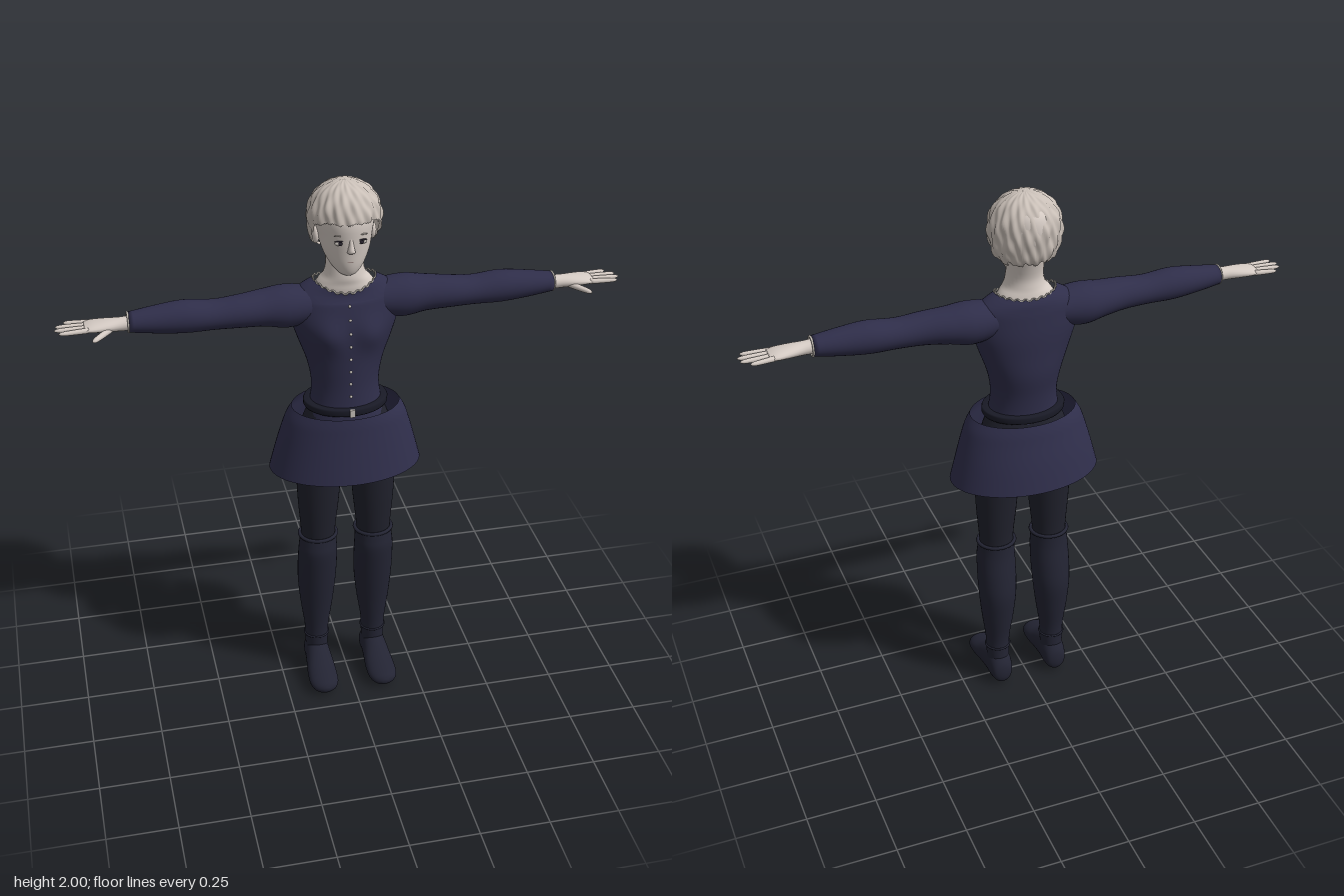
import * as THREE from 'three';

const mat = (name, color, side = THREE.FrontSide) => {
  const m = new THREE.MeshStandardMaterial({ color });
  m.name = name;
  m.side = side;
  return m;
};

// Smooth skin over elliptical rings [t, c1, c2, r1, r2] placed along an axis
function loft(rings, axis = 'y', { n = 32, steps = 4, caps = true, deform } = {}) {
  const rows = [];
  const at = i => rings[Math.min(Math.max(i, 0), rings.length - 1)];
  for (let i = 0; i < rings.length - 1; i++)
    for (let s = 0; s < steps; s++) {
      const u = s / steps;
      rows.push(at(i).map((p1, k) => {
        const p0 = at(i - 1)[k], p2 = at(i + 1)[k], p3 = at(i + 2)[k];
        return p1 + 0.5 * u * (p2 - p0 + u * (2 * p0 - 5 * p1 + 4 * p2 - p3 + u * (3 * (p1 - p2) + p3 - p0)));
      }));
    }
  rows.push(rings[rings.length - 1]);
  const place = (t, a, b) => axis === 'y' ? [a, t, b] : axis === 'x' ? [t, a, b] : [a, b, t];
  const pos = [], idx = [];
  const tri = (a, b, c) => axis === 'y' ? idx.push(a, b, c) : idx.push(a, c, b);
  for (const [t, c1, c2, r1, r2] of rows)
    for (let j = 0; j < n; j++) {
      const a = j / n * Math.PI * 2;
      pos.push(...place(t, c1 + r1 * Math.sin(a), c2 + r2 * Math.cos(a)));
    }
  for (let i = 0; i < rows.length - 1; i++)
    for (let j = 0; j < n; j++) {
      const a = i * n + j, b = i * n + (j + 1) % n;
      tri(a, b, a + n);
      tri(b, b + n, a + n);
    }
  if (caps) {
    const c = rows.length * n, top = (rows.length - 1) * n;
    for (const r of [rows[0], rows[rows.length - 1]]) pos.push(...place(r[0], r[1], r[2]));
    for (let j = 0; j < n; j++) {
      tri(c, (j + 1) % n, j);
      tri(c + 1, top + j, top + (j + 1) % n);
    }
  }
  const g = new THREE.BufferGeometry();
  g.setAttribute('position', new THREE.Float32BufferAttribute(pos, 3));
  g.setIndex(idx);
  return deform ? bend(g, deform) : (g.computeVertexNormals(), g);
}

// Move every vertex by a rule
function bend(g, rule) {
  const p = g.attributes.position, v = new THREE.Vector3();
  for (let i = 0; i < p.count; i++) {
    rule(v.fromBufferAttribute(p, i));
    p.setXYZ(i, v.x, v.y, v.z);
  }
  g.computeVertexNormals();
  return g;
}

function mirrored(g) {
  const m = g.clone().scale(-1, 1, 1), a = m.index.array;
  for (let i = 0; i < a.length; i += 3) [a[i], a[i + 1]] = [a[i + 1], a[i]];
  return m;
}

const ball = (x, y, z, a, b, c) => new THREE.SphereGeometry(1, 16, 12).scale(a, b, c).translate(x, y, z);
const hoop = (x, y, z, rx, rz, r) =>
  new THREE.TorusGeometry(1, r / rx, 8, 40).rotateX(Math.PI / 2).scale(rx, rx, rz).translate(x, y, z);

export function createModel() {
  const root = new THREE.Group();
  const skin = mat('skin', 0xd6ccc5), hairMat = mat('hair', 0xc9bfb7, THREE.DoubleSide);
  const navy = mat('navy cloth', 0x2f2e4a), skirtMat = mat('skirt cloth', 0x302f4c, THREE.DoubleSide);
  const tights = mat('tights', 0x20212c), boot = mat('boots', 0x232433), leather = mat('belt leather', 0x191a26);
  const trim = mat('pale trim', 0xc8c2ba), dark = mat('eye dark', 0x2b2630), lip = mat('lips', 0xa8938e);
  const add = (name, g, m) => {
    const mesh = new THREE.Mesh(g, m);
    mesh.name = name;
    root.add(mesh);
  };
  const pair = (name, g, m) => {
    add(name + 'Left', g, m);
    add(name + 'Right', mirrored(g), m);
  };

  // Bodice with bust and dipped neckline
  const torso = loft([
    [1.14, 0, 0, 0.14, 0.1], [1.2, 0, -0.003, 0.125, 0.096], [1.27, 0, -0.008, 0.12, 0.096],
    [1.35, 0, -0.014, 0.135, 0.102], [1.43, 0, -0.014, 0.163, 0.102], [1.5, 0, -0.016, 0.185, 0.099],
    [1.56, 0, -0.019, 0.19, 0.09], [1.6, 0, -0.022, 0.183, 0.082], [1.63, 0, -0.024, 0.145, 0.075],
    [1.65, 0, -0.02, 0.108, 0.07],
  ], 'y', {
    n: 48, caps: false, deform: v => {
      if (v.z > 0) v.z += 0.02 * Math.exp(-(((Math.abs(v.x) - 0.075) / 0.05) ** 2) - ((v.y - 1.47) / 0.055) ** 2);
      if (v.y > 1.58) v.y -= (v.y - 1.58) * (v.z > -0.02 ? 0.5 : 0.2) * ((v.z + 0.02) / 0.07) ** 2;
    },
  });
  add('bodice', torso, navy);
  const tp = torso.attributes.position;
  for (let k = 0; k < 8; k++) {
    const y = 1.575 - k * 0.048;
    let z = 0, best = 1;
    for (let i = 0; i < tp.count; i++) {
      const d = Math.abs(tp.getY(i) - y);
      if (Math.abs(tp.getX(i)) < 0.004 && tp.getZ(i) > 0 && d < best) { best = d; z = tp.getZ(i); }
    }
    add('button', ball(0, y, z, 0.005, 0.005, 0.004), trim);
  }

  // Scalloped lace around the neckline
  const lace = [];
  for (let i = 0; i < 96; i++) {
    const a = i / 96 * Math.PI * 2, c = Math.cos(a);
    lace.push(new THREE.Vector3(0.108 * Math.sin(a),
      1.65 - 0.07 * (c > 0 ? 0.5 : 0.2) * c * c + 0.003 * (i % 4 < 2 ? 1 : -1), -0.02 + 0.07 * c));
  }
  add('neckLace', new THREE.TubeGeometry(new THREE.CatmullRomCurve3(lace, true), 192, 0.003, 5, true), trim);

  // Sleeves, cuffs and hands
  pair('sleeve', loft([
    [0.1, 1.56, -0.02, 0.06, 0.066], [0.2, 1.557, -0.022, 0.074, 0.077], [0.28, 1.56, -0.019, 0.063, 0.07],
    [0.36, 1.56, -0.01, 0.056, 0.062], [0.45, 1.558, -0.008, 0.051, 0.057], [0.55, 1.562, -0.007, 0.056, 0.058],
    [0.65, 1.562, -0.005, 0.046, 0.05], [0.735, 1.562, -0.003, 0.034, 0.038],
  ], 'x'), navy);
  pair('cuffLace', new THREE.TorusGeometry(0.033, 0.004, 6, 28).rotateY(Math.PI / 2).translate(0.737, 1.562, -0.003), trim);
  pair('palm', loft([
    [0.71, 1.561, 0, 0.026, 0.028], [0.76, 1.56, 0, 0.023, 0.027], [0.81, 1.56, -0.002, 0.02, 0.037],
    [0.855, 1.56, -0.005, 0.015, 0.043], [0.882, 1.559, -0.005, 0.009, 0.039],
  ], 'x', { n: 20 }), skin);
  const finger = (len, r) => loft([
    [0, 0, 0, r, r], [len * 0.5, 0, 0, r * 0.9, r * 0.95], [len * 0.88, 0, 0, r * 0.7, r * 0.75], [len, 0, 0, r * 0.15, r * 0.15],
  ], 'x', { n: 10, steps: 3 });
  [[-0.037, 0.08, 0.15], [-0.016, 0.107, 0.05], [0.005, 0.112, 0], [0.025, 0.098, -0.08]].forEach(([z, len, turn]) =>
    pair('finger', finger(len, 0.0095).rotateY(turn).translate(0.868, 1.559, z), skin));
  pair('thumb', finger(0.09, 0.0115).rotateZ(-0.15).rotateY(-0.72).translate(0.793, 1.553, 0.015), skin);

  // Skirt, open above and below
  add('skirt', loft([
    [0.925, 0, -0.01, 0.275, 0.18], [1.02, 0, -0.008, 0.25, 0.165], [1.1, 0, -0.004, 0.227, 0.15],
    [1.14, 0, -0.002, 0.212, 0.143], [1.172, 0, 0, 0.192, 0.135],
  ], 'y', { n: 56, caps: false }), skirtMat);

  // Belt with buckle
  const beltProfile = [[0.85, 0], [1, 0], [1.02, 0.006], [1.02, 0.02], [1, 0.026], [0.85, 0.026]];
  add('belt', new THREE.LatheGeometry(beltProfile.map(p => new THREE.Vector2(...p)), 48)
    .scale(0.147, 1, 0.115).translate(0, 1.173, -0.002), leather);
  add('buckle', new THREE.BoxGeometry(0.018, 0.028, 0.008).translate(0, 1.187, 0.117), trim);

  // Hips and legs
  add('hips', loft([
    [0.93, 0, -0.002, 0.03, 0.04], [0.955, 0, -0.003, 0.1, 0.075], [1.02, 0, -0.004, 0.17, 0.1],
    [1.1, 0, -0.004, 0.16, 0.102], [1.18, 0, -0.003, 0.128, 0.094],
  ]), tights);
  pair('thigh', loft([
    [0.6, 0.104, 0, 0.062, 0.056], [0.66, 0.104, 0.003, 0.064, 0.06], [0.78, 0.102, 0.004, 0.075, 0.07],
    [0.9, 0.099, 0.003, 0.081, 0.078], [1.02, 0.092, 0, 0.08, 0.085],
  ]), tights);
  pair('bootShaft', loft([
    [0.07, 0.11, -0.02, 0.04, 0.045], [0.14, 0.11, -0.018, 0.044, 0.044], [0.2, 0.11, -0.017, 0.046, 0.046],
    [0.3, 0.109, -0.018, 0.06, 0.059], [0.4, 0.108, -0.016, 0.07, 0.071], [0.48, 0.107, -0.007, 0.073, 0.072],
    [0.56, 0.106, 0.004, 0.072, 0.069], [0.6, 0.105, 0.004, 0.069, 0.065], [0.632, 0.104, 0.002, 0.067, 0.062],
  ]), boot);
  pair('bootCuff', hoop(0.104, 0.63, 0.002, 0.068, 0.063, 0.007), boot);
  pair('ankleBand', hoop(0.11, 0.158, -0.018, 0.045, 0.045, 0.004), boot);
  pair('foot', loft([
    [-0.086, 0.11, 0.045, 0.008, 0.012], [-0.076, 0.11, 0.052, 0.035, 0.043], [-0.04, 0.11, 0.066, 0.046, 0.066],
    [0, 0.111, 0.066, 0.047, 0.063], [0.05, 0.112, 0.056, 0.051, 0.05], [0.1, 0.113, 0.043, 0.055, 0.036],
    [0.15, 0.114, 0.036, 0.053, 0.028], [0.18, 0.114, 0.033, 0.038, 0.022], [0.193, 0.114, 0.032, 0.01, 0.007],
  ], 'z'), boot);

  // Neck, head and ears
  add('neck', loft([
    [1.57, 0, -0.02, 0.1, 0.06], [1.62, 0, -0.02, 0.104, 0.068], [1.645, 0, -0.018, 0.092, 0.067],
    [1.67, 0, -0.014, 0.072, 0.066], [1.71, 0, -0.016, 0.064, 0.062], [1.78, 0, -0.035, 0.064, 0.062],
  ]), skin);
  add('head', loft([
    [1.684, 0, 0.046, 0.012, 0.012], [1.695, 0, 0.036, 0.034, 0.036], [1.725, 0, 0.015, 0.06, 0.067],
    [1.77, 0, -0.001, 0.081, 0.088], [1.82, 0, -0.014, 0.092, 0.106], [1.88, 0, -0.02, 0.1, 0.113],
    [1.94, 0, -0.025, 0.085, 0.095], [1.975, 0, -0.025, 0.045, 0.05],
  ], 'y', { n: 48 }), skin);
  add('nose', loft([
    [1.774, 0, 0.085, 0.004, 0.004], [1.781, 0, 0.09, 0.014, 0.012], [1.79, 0, 0.092, 0.012, 0.014],
    [1.812, 0, 0.087, 0.008, 0.011], [1.84, 0, 0.083, 0.008, 0.006],
  ], 'y', { n: 16 }), skin);
  pair('ear', ball(0.097, 1.808, -0.022, 0.013, 0.031, 0.019), skin);

  // Eyes, brows and mouth
  pair('eyeWhite', ball(0.037, 1.814, 0.083, 0.016, 0.008, 0.005).rotateY(0.02), trim);
  pair('iris', ball(0.036, 1.814, 0.0865, 0.007, 0.0075, 0.003), dark);
  pair('lash', ball(0.038, 1.8215, 0.0845, 0.018, 0.0025, 0.004), dark);
  pair('brow', ball(0.038, 1.841, 0.0835, 0.019, 0.0025, 0.004), hairMat);
  add('mouth', ball(0, 1.744, 0.078, 0.019, 0.006, 0.007), lip);

  // Short hair: clumped cap with a high fringe and a low ragged nape
  add('hair', bend(new THREE.SphereGeometry(1, 144, 40), v => {
    const t = Math.acos(THREE.MathUtils.clamp(v.y, -1, 1)) / Math.PI;
    const a = Math.atan2(v.x, v.z), back = (1 - Math.cos(a)) / 2;
    const rag = 0.07 * Math.sin(11 * a + 1) + 0.05 * Math.sin(23 * a);
    const end = THREE.MathUtils.lerp(0.02, -0.88, THREE.MathUtils.smoothstep(back, 0.12, 0.62)) + rag * (0.25 + back);
    const phi = t * Math.acos(Math.max(end, -0.97));
    const s = Math.sin(phi), c = Math.cos(phi);
    const clump = 1 + 0.03 * s * (Math.sin(13 * a + 5 * phi) + 0.7 * Math.sin(22 * a - 7 * phi) + 0.4 * Math.sin(9 * phi + 4 * a));
    const r = (c < 0 ? Math.pow(s, 0.35) : s) * clump;
    v.set(0.124 * r * Math.sin(a), 1.876 + 0.122 * c * (1 + (clump - 1) * 0.5), -0.018 + 0.117 * r * Math.cos(a));
  }), hairMat);
  return root;
}
